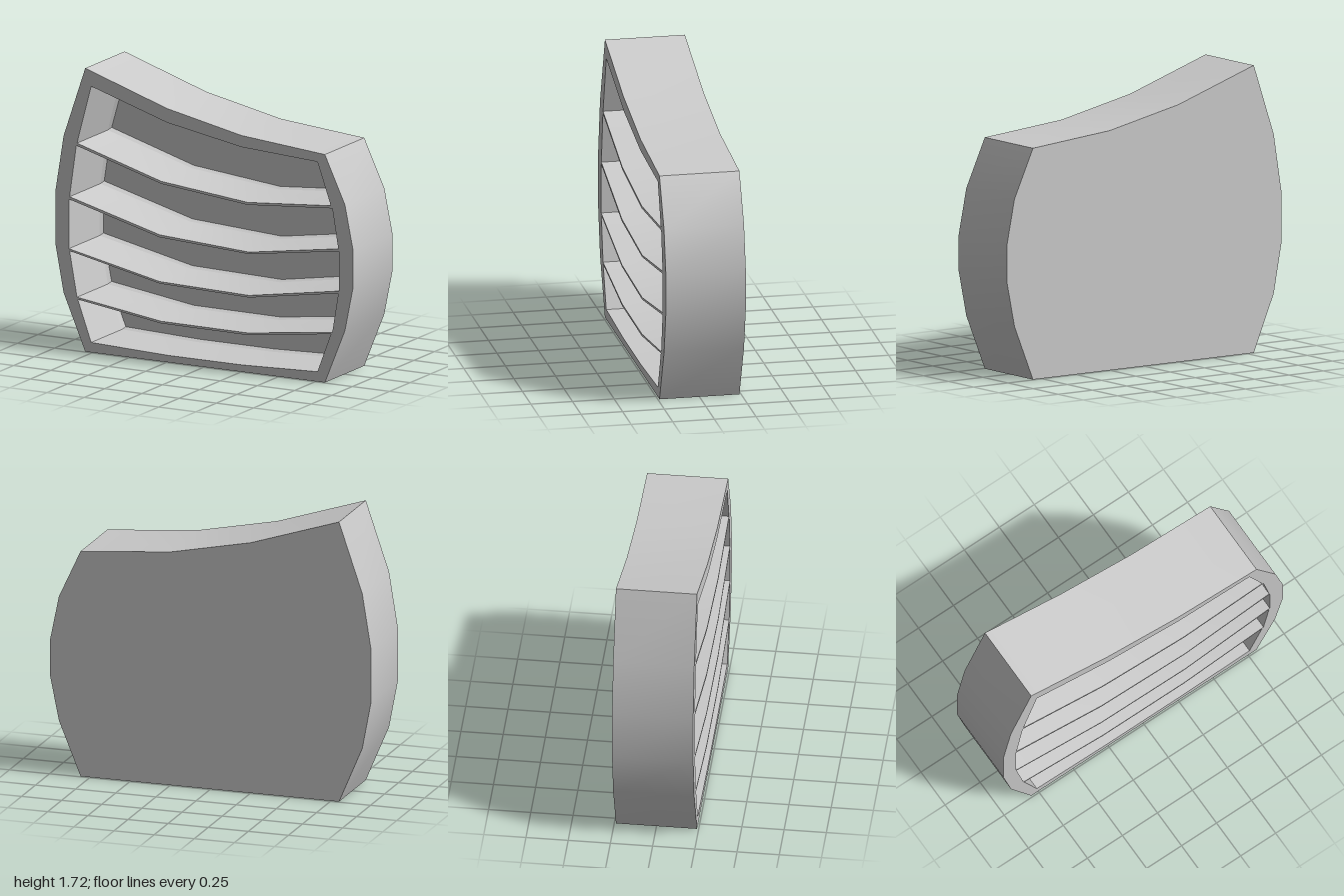
import * as THREE from 'three';
import { toCreasedNormals } from 'three/addons/utils/BufferGeometryUtils.js';

const FRONT = 0.24, BACK = -0.24, PANEL = -0.16; // z of front rim, back and inner back wall
const CHAMFER = 0.012, CHAMFER_Z = PANEL + 0.025;

// Outer outline, counter-clockwise from the front
const OUTLINE = [
  [-0.80, 0], [0.81, 0], [0.945, 0.33], [1, 0.6], [1, 0.82], [0.945, 1.09], [0.81, 1.38],
  [0.25, 1.43], [-0.25, 1.535], [-0.80, 1.715], [-0.945, 1.29], [-1, 0.95], [-1, 0.63], [-0.945, 0.34],
];

// Compartments: ceiling left to right, then floor right to left (clockwise)
const CELLS = [
  [[-0.76, 1.61], [-0.25, 1.45], [0.25, 1.36], [0.76, 1.33], [0.85, 1.075], [0.29, 1.03], [-0.29, 1.09], [-0.855, 1.255]],
  [[-0.86, 1.24], [-0.29, 1.075], [0.29, 1.015], [0.86, 1.06], [0.90, 0.82], [0.30, 0.73], [-0.30, 0.765], [-0.905, 0.925]],
  [[-0.91, 0.91], [-0.30, 0.75], [0.30, 0.718], [0.905, 0.805], [0.905, 0.565], [0.30, 0.468], [-0.30, 0.482], [-0.91, 0.61]],
  [[-0.905, 0.597], [-0.30, 0.47], [0.30, 0.455], [0.90, 0.55], [0.86, 0.31], [0.29, 0.24], [-0.29, 0.243], [-0.855, 0.323]],
  [[-0.85, 0.31], [-0.29, 0.23], [0.29, 0.227], [0.85, 0.298], [0.76, 0.06], [0.25, 0.042], [-0.25, 0.042], [-0.76, 0.06]],
];

const vectors = (pts) => pts.map(([x, y]) => new THREE.Vector2(x, y));

// Flat face at height z with optional holes
function face(pts, z, holes = []) {
  const shape = new THREE.Shape(vectors(pts));
  shape.holes = holes.map((h) => new THREE.Path(vectors(h)));
  return new THREE.ShapeGeometry(shape).translate(0, 0, z);
}

// Wall joining a loop at zFront to a matching loop at zBack
function wall(front, back, zFront, zBack) {
  const pos = [];
  front.forEach((a, i) => {
    const j = (i + 1) % front.length;
    const a0 = [...a, zFront], b0 = [...front[j], zFront];
    const a1 = [...back[i], zBack], b1 = [...back[j], zBack];
    pos.push(...a0, ...a1, ...b1, ...a0, ...b1, ...b0);
  });
  const geo = new THREE.BufferGeometry();
  geo.setAttribute('position', new THREE.Float32BufferAttribute(pos, 3));
  geo.computeVertexNormals();
  return toCreasedNormals(geo, 0.45);
}

// Shrink a compartment loop slightly for the chamfer at its back
function inset(cell) {
  return cell.map(([x, y], i) => [
    i % 4 === 0 || i % 4 === 3 ? x - Math.sign(x) * CHAMFER : x,
    y + (i < 4 ? -CHAMFER : CHAMFER),
  ]);
}

export function createModel() {
  const model = new THREE.Group();
  model.name = 'curvedShelfCabinet';
  const material = new THREE.MeshStandardMaterial({ color: 0xcccccc });
  const add = (parent, name, geometry) => {
    const mesh = new THREE.Mesh(geometry, material);
    mesh.name = name;
    parent.add(mesh);
  };

  // Shell: front rim with shelf edges, outer walls, closed back
  add(model, 'frontRim', face(OUTLINE, FRONT, CELLS));
  add(model, 'outerWalls', wall(OUTLINE, OUTLINE, FRONT, BACK));
  const mirrored = OUTLINE.map(([x, y]) => [-x, y]);
  add(model, 'backFace', face(mirrored, -BACK).rotateY(Math.PI));

  // Compartments between the bent shelves
  CELLS.forEach((cell, i) => {
    const group = new THREE.Group();
    group.name = `compartment${i + 1}`;
    const small = inset(cell);
    add(group, 'shelfSurfaces', wall(cell, cell, FRONT, CHAMFER_Z));
    add(group, 'rearChamfer', wall(cell, small, CHAMFER_Z, PANEL));
    add(group, 'backPanel', face(small, PANEL));
    model.add(group);
  });
  return model;
}
